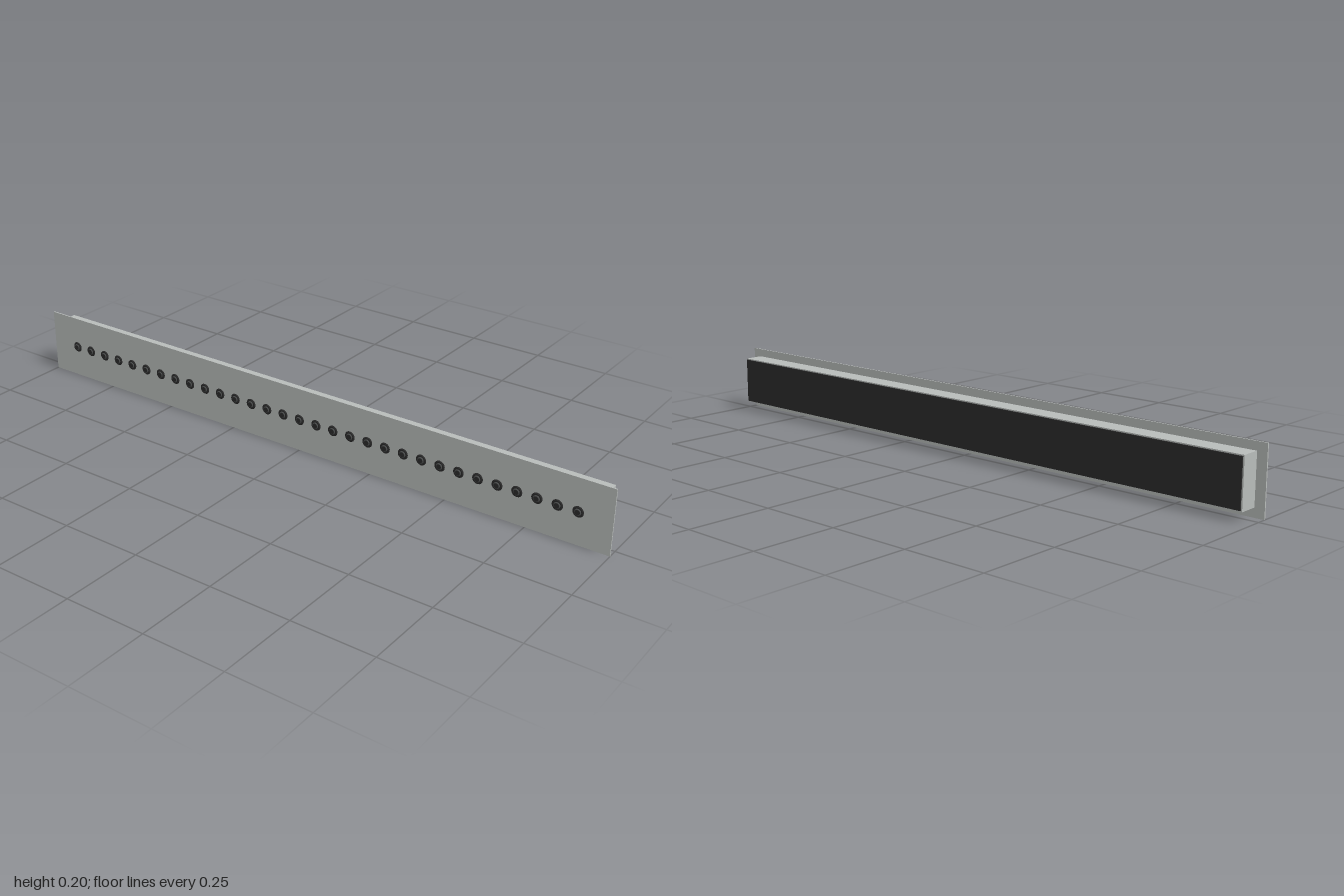
import * as THREE from 'three';

export function createModel() {
  const model = new THREE.Group();
  model.name = 'nozzleBar';

  const metal = new THREE.MeshStandardMaterial({ color: 0xb8bcba });
  metal.name = 'brushed metal';
  const black = new THREE.MeshStandardMaterial({ color: 0x2b2b2b });
  black.name = 'black rubber';
  const grey = new THREE.MeshStandardMaterial({ color: 0x4c4e4e });
  grey.name = 'dark grey';

  const add = (name, geometry, material, x, y, z, parent = model) => {
    const mesh = new THREE.Mesh(geometry, material);
    mesh.name = name;
    mesh.position.set(x, y, z);
    parent.add(mesh);
    return mesh;
  };

  // Thin front panel, housing box and inset back cover
  add('frontPanel', new THREE.BoxGeometry(2, 0.2, 0.004), metal, 0, 0.1, 0.029);
  add('housing', new THREE.BoxGeometry(1.94, 0.148, 0.058), metal, 0, 0.101, -0.002);
  add('backCover', new THREE.BoxGeometry(1.932, 0.141, 0.004), black, 0, 0.101, -0.033);

  // Row of small nozzles: a flat collar with a raised tip and a dark opening
  const collar = new THREE.CylinderGeometry(0.014, 0.017, 0.003, 16).rotateX(Math.PI / 2);
  const tip = new THREE.CylinderGeometry(0.008, 0.011, 0.003, 16).rotateX(Math.PI / 2);
  const opening = new THREE.CircleGeometry(0.0075, 16);
  for (let i = 0; i <= 30; i++) {
    const nozzle = new THREE.Group();
    nozzle.name = 'nozzle' + (i + 1);
    nozzle.position.set(-0.9 + i * 0.06, 0.1, 0.031);
    add('collar', collar, black, 0, 0, 0.0013, nozzle);
    add('tip', tip, grey, 0, 0, 0.0037, nozzle);
    add('opening', opening, black, 0, 0, 0.0054, nozzle);
    model.add(nozzle);
  }
  return model;
}
